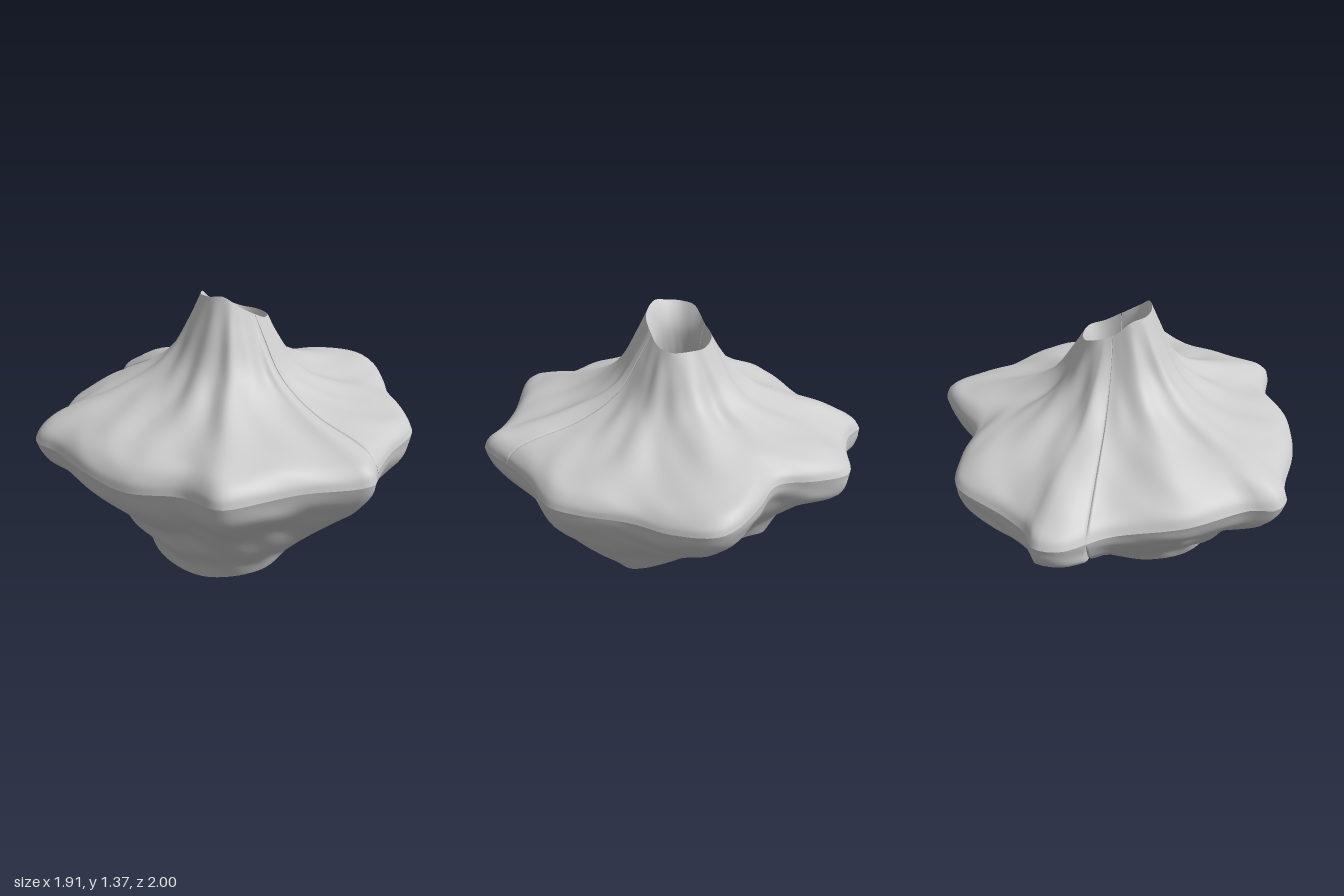
import * as THREE from 'three';

const CX = -0.03; // axis of the spout and plane of the seam
const lerp = THREE.MathUtils.lerp;

// Closed smooth loop [x, y, z], looked up by angle around the axis -> {r, y}
function polarLoop(points) {
  const curve = new THREE.CatmullRomCurve3(points.map(p => new THREE.Vector3(...p)), true, 'centripetal');
  const list = curve.getPoints(600).slice(0, -1).map(p => ({
    a: (Math.atan2(p.z, p.x - CX) + Math.PI * 2) % (Math.PI * 2),
    r: Math.hypot(p.x - CX, p.z), y: p.y,
  })).sort((m, n) => m.a - n.a);
  return angle => {
    const a = (angle + Math.PI * 2) % (Math.PI * 2);
    const i = Math.max(0, list.findIndex(p => p.a >= a));
    const q = list[i], p = list[(i + list.length - 1) % list.length];
    const span = q.a - p.a;
    const t = span > 1e-6 ? (a - p.a) / span : 1;
    return { r: lerp(p.r, q.r, t), y: lerp(p.y, q.y, t) };
  };
}

// Jagged lip of the spout
const lip = polarLoop([
  [0.14, 1.21, 0], [0.12, 1.21, 0.09], [0.05, 1.22, 0.13], [-0.03, 1.26, 0.14], [-0.13, 1.32, 0.13],
  [-0.18, 1.37, 0.07], [-0.2, 1.36, 0], [-0.18, 1.35, -0.08], [-0.12, 1.34, -0.13],
  [-0.03, 1.27, -0.15], [0.06, 1.24, -0.15], [0.12, 1.21, -0.09],
]);
// Lobed widest edge
const rim = polarLoop([
  [0.83, 0.71, -0.07], [0.94, 0.70, 0.10], [0.945, 0.69, 0.20], [0.82, 0.67, 0.37], [0.68, 0.67, 0.5],
  [0.52, 0.67, 0.72], [0.41, 0.67, 0.82], [0.16, 0.67, 0.86], [-0.03, 0.67, 0.92], [-0.18, 0.70, 1.0],
  [-0.24, 0.69, 0.96], [-0.45, 0.69, 0.80], [-0.77, 0.70, 0.66], [-0.81, 0.70, 0.62], [-0.81, 0.67, 0.4],
  [-0.93, 0.65, 0.16], [-0.95, 0.66, -0.13], [-0.91, 0.65, -0.4], [-0.92, 0.65, -0.52], [-0.86, 0.65, -0.6],
  [-0.76, 0.65, -0.61], [-0.47, 0.64, -0.78], [-0.13, 0.61, -0.86], [0.08, 0.61, -1.0], [0.21, 0.61, -0.985],
  [0.25, 0.61, -0.9], [0.38, 0.62, -0.8], [0.62, 0.65, -0.68], [0.67, 0.66, -0.62], [0.69, 0.68, -0.45],
  [0.68, 0.70, -0.24],
]);
// Ragged foot, arched on the left side
const foot = polarLoop([
  [0.38, 0.17, 0], [0.36, 0.13, 0.24], [0.32, 0.1, 0.33], [0.2, 0.04, 0.39], [-0.03, 0.05, 0.43],
  [-0.3, 0.02, 0.44], [-0.52, 0.0, 0.25], [-0.56, 0.02, 0], [-0.45, 0.04, -0.23], [-0.25, 0.07, -0.36],
  [0, 0.12, -0.41], [0.22, 0.09, -0.43], [0.34, 0.16, -0.24],
]);

// Smooth lookup through a few points
function profile(points) {
  const curve = new THREE.CatmullRomCurve3(points.map(p => new THREE.Vector3(p[0], p[1], 0)), false, 'centripetal');
  return t => curve.getPoint(t);
}
// x: way outwards from lip to rim, y: share of the height left
const upper = profile([[0, 1], [0.08, 0.8], [0.2, 0.54], [0.34, 0.39], [0.55, 0.27], [0.8, 0.19], [0.92, 0.14], [0.98, 0.07], [1, 0]]);
const upperBack = profile([[0, 1], [0.07, 0.82], [0.16, 0.65], [0.31, 0.48], [0.54, 0.34], [0.72, 0.24], [0.87, 0.14], [0.96, 0.07], [1, 0]]);
// x: way inwards from rim to foot, y: share of the drop
const lower = profile([[0, 0], [0.03, 0.12], [0.14, 0.27], [0.33, 0.46], [0.64, 0.7], [0.88, 0.9], [1, 1]]);
const lowerRight = profile([[0, 0], [0.08, 0.17], [0.37, 0.37], [0.58, 0.5], [0.71, 0.68], [0.92, 0.85], [1, 1]]);
const lowerLedge = profile([[0, 0], [0.02, 0.12], [0.04, 0.24], [0.3, 0.33], [0.57, 0.43], [0.82, 0.7], [1, 1]]);
// x: height share from foot to lip, y: how far the bore has narrowed
const taper = profile([[0, 0], [0.2, 0.36], [0.42, 0.65], [0.65, 0.87], [0.85, 1], [1, 1]]);

// Gentle weathering
const bumps = (a, v) =>
  0.5 * Math.sin(5 * a + 9 * v + 1) * Math.cos(7 * v + 2 * a) +
  0.3 * Math.sin(11 * a - 13 * v) + 0.2 * Math.sin(19 * a + 21 * v + 2);
// Radial folds running down from the spout
const folds = a => 0.6 * Math.sin(9 * a + 0.8) + 0.4 * Math.sin(15 * a + 2);
// Worn edge along the seam
const wear = (a, t) => (Math.abs(Math.cos(a)) < 0.003 ? 0.008 * Math.min(1, 8 * t * (1 - t)) : 0);

// Sloping shoulder from the lip out to the rim
function shoulder(t, { a, L, R }) {
  const p = upper(t).lerp(upperBack(t), Math.max(0, -Math.sin(a)));
  const mid = Math.sin(Math.PI * t);
  return [
    lerp(L.r, R.r, p.x) + mid * 0.01 * folds(a) - wear(a, t) * (1 - t),
    lerp(R.y, L.y, p.y) + mid * (0.012 * folds(a) * (1 - t) + 0.01 * bumps(a, t)) - wear(a, t),
  ];
}

// Underside from the rim in to the foot; the left half has a ledge at the back
function underside(t, { a, side, R, F }) {
  const ledge = side > 0 ? 0.75 * THREE.MathUtils.smoothstep(-Math.sin(a), 0.35, 0.75) : 0;
  const p = lower(t).lerp(lowerRight(t), Math.max(0, -Math.cos(a))).lerp(lowerLedge(t), ledge);
  const r = lerp(R.r, F.r, p.x) + Math.sin(Math.PI * t) * 0.015 * bumps(a, t + 2);
  return [r - wear(a, t), lerp(R.y, F.y, p.y)];
}

// Bore through the middle, narrowing from the foot up to the lip
function bore(t, { a, L, F }) {
  const p = taper(t);
  const neck = 0.128 + 0.017 * Math.cos(a - 0.1);
  const flare = Math.max(0, (p.x - 0.88) / 0.12) ** 2;
  const r = lerp(lerp(F.r, neck, p.y), L.r, flare);
  return [r + Math.sin(Math.PI * t) * 0.01 * (1 - p.x) * bumps(a, t), lerp(F.y, L.y, p.x)];
}

const parts = { shoulder: [36, shoulder], underside: [30, underside], bore: [40, bore] };

// Columns of one half, from one seam round to the other
function halfColumns(side) {
  const steps = [0, 0.007, 0.016];
  for (let i = 1; i < 80; i++) steps.push((i / 80) * Math.PI);
  steps.push(Math.PI - 0.016, Math.PI - 0.007, Math.PI);
  const start = side > 0 ? -Math.PI / 2 : Math.PI / 2;
  return steps.map(s => s + start).map(a => ({ a, side, L: lip(a), R: rim(a), F: foot(a) }));
}

// Arcs of points joined into a surface
function loft(columns, steps, ring) {
  const n = columns.length, pos = [], index = [];
  for (let j = 0; j <= steps; j++)
    columns.forEach((c, i) => {
      const [r, y] = ring(j / steps, c);
      pos.push(CX + r * Math.cos(c.a), Math.max(0, y), r * Math.sin(c.a));
      if (j === steps || i === n - 1) return;
      const p = j * n + i;
      index.push(p, p + 1, p + n, p + 1, p + n + 1, p + n);
    });
  const g = new THREE.BufferGeometry();
  g.setAttribute('position', new THREE.Float32BufferAttribute(pos, 3));
  g.setIndex(index);
  g.computeVertexNormals();
  return g;
}

// Flat face closing a half along the seam
function cutFace(column) {
  const outline = [];
  for (const [steps, ring] of Object.values(parts))
    for (let j = 0; j < steps; j++) {
      const [r, y] = ring(j / steps, column);
      outline.push(new THREE.Vector2(r * Math.sin(column.a), Math.max(0, y)));
    }
  return new THREE.ShapeGeometry(new THREE.Shape(outline)).rotateY(-Math.PI / 2).translate(CX, 0, 0);
}

export function createModel() {
  const group = new THREE.Group();
  group.name = 'boredRock';
  const material = new THREE.MeshStandardMaterial({ color: 0xcccccc });
  const cutMaterial = new THREE.MeshStandardMaterial({ color: 0xcccccc, side: THREE.DoubleSide });
  for (const side of [1, -1]) {
    const half = new THREE.Group();
    half.name = side > 0 ? 'leftHalf' : 'rightHalf';
    const add = (name, geometry, mat) => {
      const mesh = new THREE.Mesh(geometry, mat);
      mesh.name = name;
      half.add(mesh);
    };
    const columns = halfColumns(side);
    for (const [name, [steps, ring]] of Object.entries(parts)) add(name, loft(columns, steps, ring), material);
    for (const column of [columns[0], columns.at(-1)]) add('seamFace', cutFace(column), cutMaterial);
    half.position.x = side * 0.001;
    group.add(half);
  }
  return group;
}
